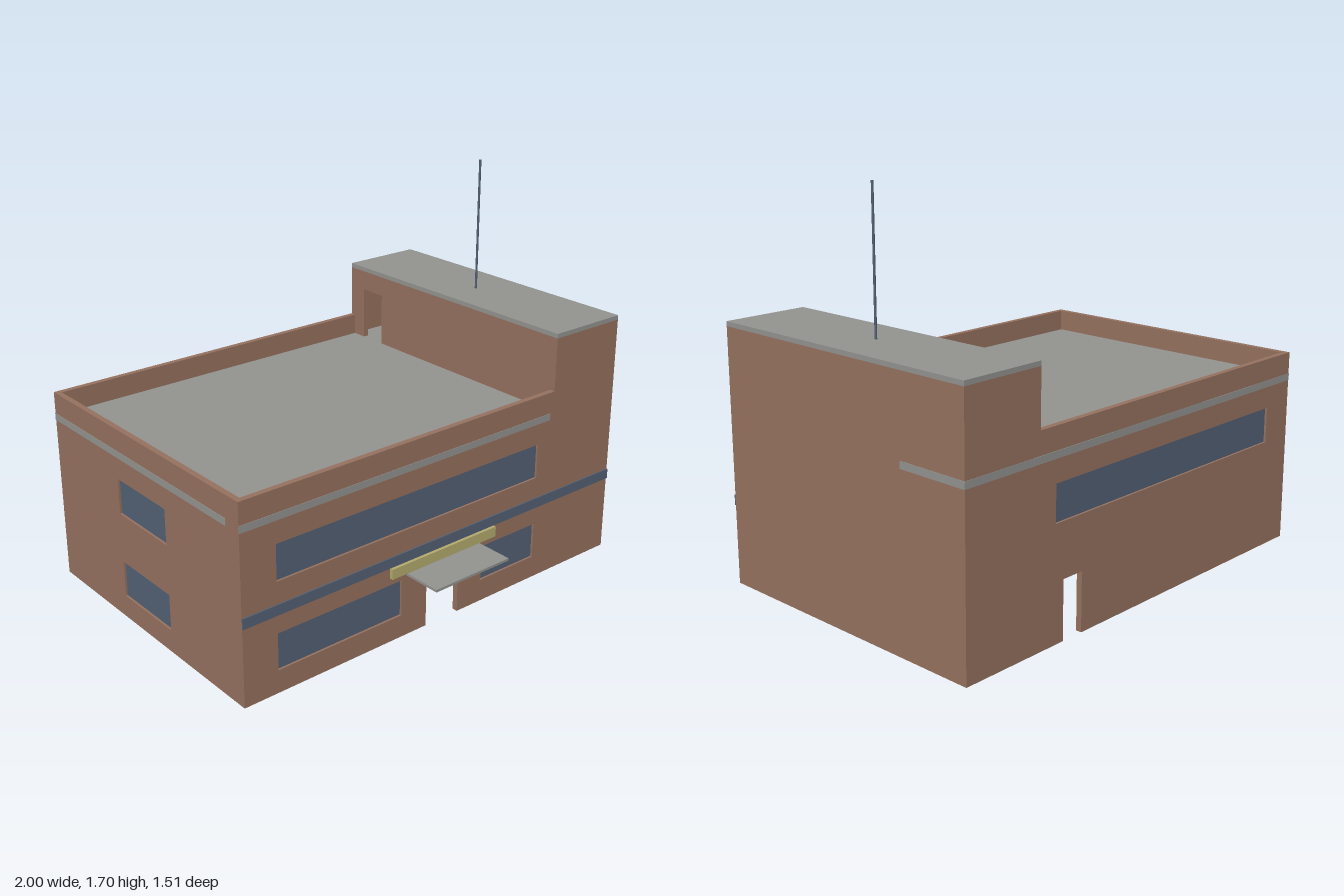
import * as THREE from 'three';

const T = 0.025;                  // wall thickness
const ZF = 0.58, ZB = -0.753;     // outer faces of front and back walls
const PARAPET = 0.855, TOWER = 1.09, TOWER_X = 0.62;
const LOW = [0.1, 0.26], HIGH = [0.48, 0.635];   // window sill and head heights

export function createModel() {
  const group = new THREE.Group();
  const material = (name, color) => {
    const m = new THREE.MeshStandardMaterial({ color });
    m.name = name;
    return m;
  };
  const brick = material('brick', 0x95715f);
  const concrete = material('concrete', 0x92928f);
  const blue = material('slate blue', 0x526073);
  const yellow = material('sign yellow', 0xb2aa6c);

  const add = (name, geometry, mat) => {
    const mesh = new THREE.Mesh(geometry, mat);
    mesh.name = name;
    group.add(mesh);
    return mesh;
  };
  // Box given by its limits on each axis
  const box = (name, mat, [x0, x1], [y0, y1], [z0, z1]) => {
    const mesh = add(name, new THREE.BoxGeometry(x1 - x0, y1 - y0, z1 - z0), mat);
    mesh.position.set((x0 + x1) / 2, (y0 + y1) / 2, (z0 + z1) / 2);
    return mesh;
  };
  // Wall slab from an outline, with rectangular window holes [a0, a1, [y0, y1]]
  const wall = (name, outline, holes = []) => {
    const shape = new THREE.Shape(outline.map(([a, y]) => new THREE.Vector2(a, y)));
    for (const [a0, a1, [y0, y1]] of holes) {
      shape.holes.push(new THREE.Path([
        new THREE.Vector2(a0, y0), new THREE.Vector2(a0, y1),
        new THREE.Vector2(a1, y1), new THREE.Vector2(a1, y0),
      ]));
    }
    return add(name, new THREE.ExtrudeGeometry(shape, { depth: T, bevelEnabled: false }), brick);
  };
  // Stepped long wall with a doorway cut up from the ground
  const longWall = (name, z, [d0, d1, top], holes) => {
    wall(name, [
      [-1, 0], [d0, 0], [d0, top], [d1, top], [d1, 0], [1, 0],
      [1, TOWER], [TOWER_X, TOWER], [TOWER_X, PARAPET], [-1, PARAPET],
    ], holes).position.z = z;
    for (const [a0, a1, ys] of holes) {
      box(name + 'Window', blue, [a0, a1], ys, [z + T / 2 - 0.003, z + T / 2 + 0.003]);
    }
  };
  // Wall running along z; its outer face points to -x
  const sideWall = (name, x, outline, holes = []) => {
    const mesh = wall(name, outline, holes);
    mesh.rotation.y = -Math.PI / 2;
    mesh.position.x = x + T;
    for (const [a0, a1, ys] of holes) {
      box(name + 'Window', blue, [x + T / 2 - 0.003, x + T / 2 + 0.003], ys, [a0, a1]);
    }
  };

  // Outer walls
  longWall('frontWall', ZF - T, [-0.09, 0.087, 0.272], [
    [-0.84, -0.225, LOW], [0.22, 0.535, LOW], [-0.84, 0.535, HIGH],
  ]);
  longWall('backWall', ZB, [0.385, 0.49, 0.25], [[-0.84, 0.535, HIGH]]);
  const zi = [ZB + T, ZF - T];
  const rect = (y0, y1) => [[zi[0], y0], [zi[1], y0], [zi[1], y1], [zi[0], y1]];
  sideWall('leftEndWall', -1, rect(0, PARAPET), [[-0.26, 0.085, LOW], [-0.26, 0.085, HIGH]]);
  sideWall('rightEndWall', 1 - T, rect(0, TOWER));

  // Tower wall above the roof, with a roof-access doorway
  sideWall('towerWall', TOWER_X, [
    [zi[0], 0.76], [-0.66, 0.76], [-0.66, 1.0], [-0.53, 1.0],
    [-0.53, 0.76], [zi[1], 0.76], [zi[1], TOWER], [zi[0], TOWER],
  ]);

  // Roofs
  box('mainRoof', concrete, [-1 + T, 1 - T], [0.73, 0.76], zi);
  box('towerRoof', concrete, [TOWER_X, 1], [TOWER, 1.11], [ZB, ZF]);

  // Roof slab edge showing on the walls
  const edge = [0.73, 0.76], e = 0.002;
  box('slabEdgeFront', concrete, [-1, 0.6], edge, [ZF - e, ZF + e]);
  box('slabEdgeBack', concrete, [-1, 1], edge, [ZB - e, ZB + e]);
  box('slabEdgeLeft', concrete, [-1 - e, -1 + e], edge, [ZB, 0.5]);
  box('slabEdgeRight', concrete, [1 - e, 1 + e], edge, [ZB, -0.43]);

  // Front trim: band, sign board and entrance canopy
  box('frontBand', blue, [-1, 1], [0.34, 0.385], [ZF, ZF + 0.006]);
  box('signBoard', yellow, [-0.288, 0.285], [0.292, 0.337], [ZF, ZF + 0.016]);
  box('canopy', concrete, [-0.2, 0.2], [0.274, 0.285], [ZF, 0.755]);

  // Mast on the tower
  add('mast', new THREE.CylinderGeometry(0.005, 0.005, 0.59, 8), blue).position.set(0.8, 1.405, -0.085);

  return group;
}
